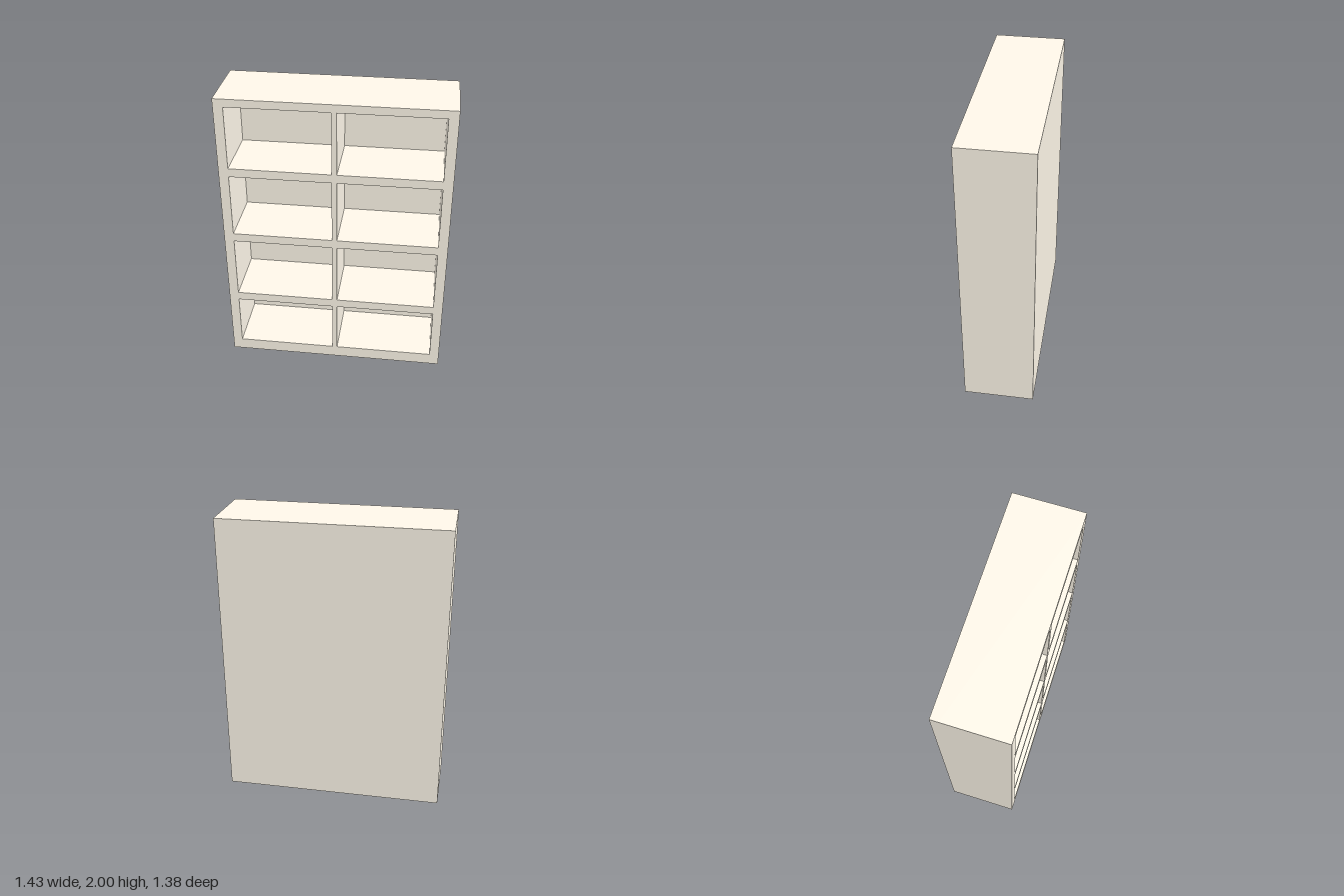
import * as THREE from 'three';

const WIDTH = 1.514, HEIGHT = 2, DEPTH = 0.478, BACK = 0.054;

// Closed rectangle given by two opposite corners
const rect = (x0, y0, x1, y1) => new THREE.Shape([
  new THREE.Vector2(x0, y0), new THREE.Vector2(x1, y0),
  new THREE.Vector2(x1, y1), new THREE.Vector2(x0, y1),
]);

export function createModel() {
  // Warm off-white paint
  const material = new THREE.MeshStandardMaterial({ color: 0xfff8ea });
  const bookcase = new THREE.Group();
  bookcase.name = 'bookcase';

  // Frame: outer block with two columns of four compartments
  const outline = rect(-WIDTH / 2, 0, WIDTH / 2, HEIGHT);
  const columns = [[-0.692, -0.017], [0.017, 0.692]];
  const rows = [[0.085, 0.457], [0.517, 0.957], [1.017, 1.457], [1.517, 1.946]];
  for (const [x0, x1] of columns)
    for (const [y0, y1] of rows) outline.holes.push(rect(x0, y0, x1, y1));
  const frame = new THREE.Mesh(
    new THREE.ExtrudeGeometry(outline, { depth: DEPTH - BACK, bevelEnabled: false }), material);
  frame.name = 'shelfFrame';
  frame.position.z = -DEPTH / 2 + BACK;
  bookcase.add(frame);

  // Solid panel closing the back
  const back = new THREE.Mesh(new THREE.BoxGeometry(WIDTH, HEIGHT, BACK), material);
  back.name = 'backPanel';
  back.position.set(0, HEIGHT / 2, -DEPTH / 2 + BACK / 2);
  bookcase.add(back);

  // The bookcase stands turned towards its left
  bookcase.rotation.y = THREE.MathUtils.degToRad(43.1);
  const model = new THREE.Group();
  model.name = 'model';
  model.add(bookcase);
  return model;
}
